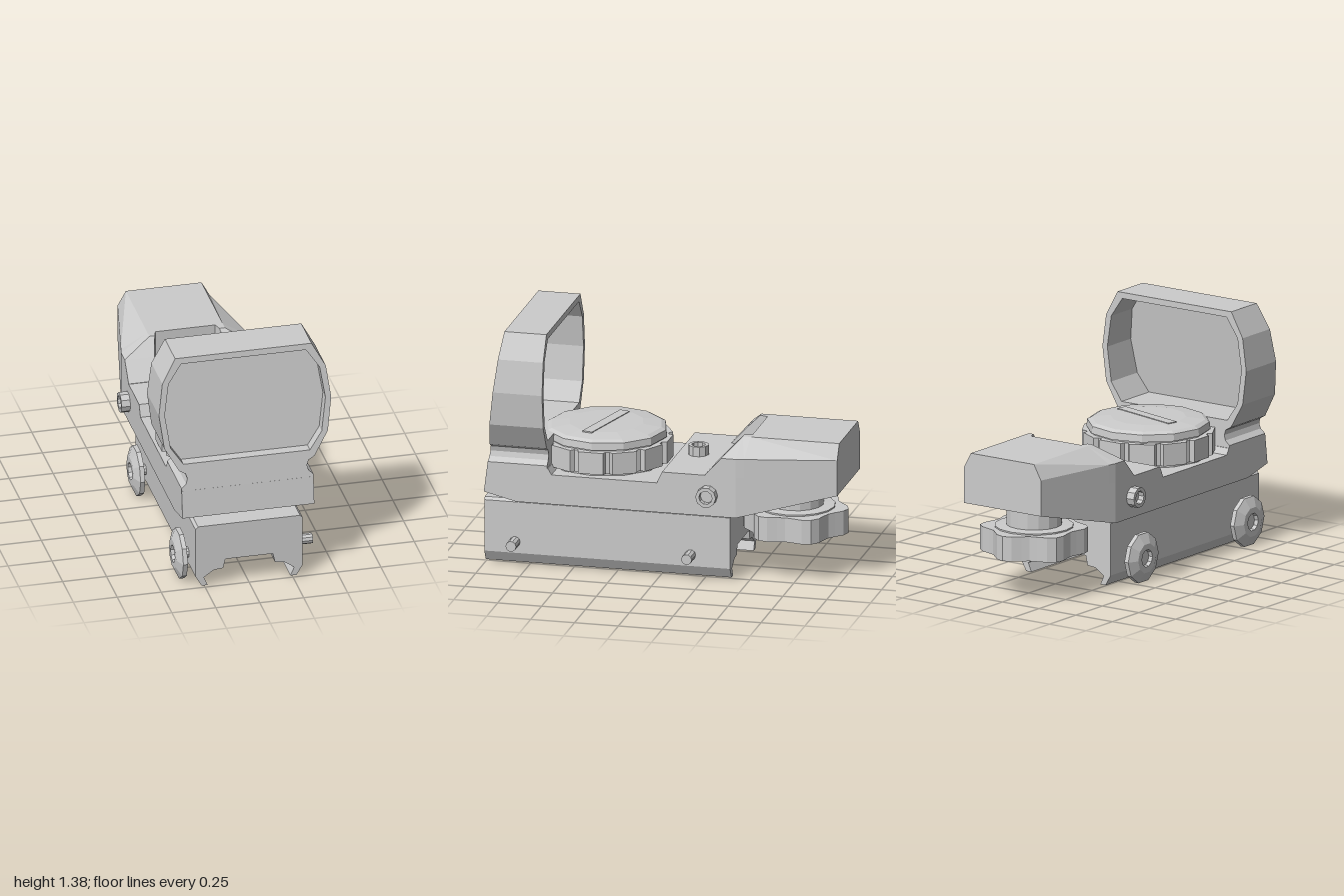
import * as THREE from 'three';

const grey = new THREE.MeshStandardMaterial({ color: 0xcccccc, flatShading: true });
const thin = new THREE.MeshStandardMaterial({ color: 0xcccccc, flatShading: true, side: THREE.DoubleSide });

export function createModel() {
  const root = new THREE.Group();
  const add = (name, geo, x = 0, y = 0, z = 0, mat = grey) => {
    const m = new THREE.Mesh(geo, mat);
    m.name = name;
    m.position.set(x, y, z);
    root.add(m);
    return m;
  };
  const vecs = pts => pts.map(([x, y]) => new THREE.Vector2(x, y));
  // Closed outline from its right half, listed bottom to top
  const mirrored = half => vecs([...half, ...half.map(([x, y]) => [-x, y]).reverse()]);
  const extrude = (shape, depth) => new THREE.ExtrudeGeometry(shape, { depth, bevelEnabled: false });
  const lathe = (pts, sides) => new THREE.LatheGeometry(vecs(pts), sides);

  // Skin through convex sections running from back to front, counterclockwise seen from +z
  const loft = sections => {
    const pos = [];
    const tri = (...p) => p.forEach(v => pos.push(...v));
    const n = sections[0].length;
    for (let i = 0; i < sections.length - 1; i++) {
      const s = sections[i], t = sections[i + 1];
      for (let j = 0; j < n; j++) {
        const k = (j + 1) % n;
        tri(s[j], s[k], t[k]);
        tri(s[j], t[k], t[j]);
      }
    }
    const a = sections[0], b = sections[sections.length - 1];
    for (let j = 1; j < n - 1; j++) {
      tri(a[0], a[j + 1], a[j]);
      tri(b[0], b[j], b[j + 1]);
    }
    const g = new THREE.BufferGeometry();
    g.setAttribute('position', new THREE.Float32BufferAttribute(pos, 3));
    g.computeVertexNormals();
    return g;
  };

  // Clamp rail with its channel open underneath
  const rail = mirrored([
    [0.135, 0.165], [0.148, 0.11], [0.2, 0.105], [0.257, 0.065], [0.235, 0.015],
    [0.27, 0.015], [0.305, 0.075], [0.305, 0.37], [0.29, 0.385]]);
  add('clampRail', extrude(new THREE.Shape(rail), 1.4), 0, 0, -0.4);
  add('spacerPlate', new THREE.BoxGeometry(0.48, 0.03, 1.1), 0, 0.39, 0.2);

  // Cross bolts, each with a clamp knob on the right
  for (const z of [0.825, -0.175]) {
    const bolt = add('crossBolt', new THREE.CylinderGeometry(0.03, 0.03, 0.76, 10), 0.02, 0.14, z);
    bolt.rotation.z = Math.PI / 2;
    const knob = add('clampKnob', lathe([
      [0, 0], [0.144, 0], [0.144, 0.026], [0.085, 0.052], [0.05, 0.052], [0.045, 0.03], [0, 0.03]], 10),
      -0.34, 0.14, z);
    knob.rotation.z = Math.PI / 2;
  }

  // Main body from its side profile (z, y)
  const side = vecs([
    [-0.45, 0.395], [0.8, 0.395], [0.985, 0.44], [0.965, 0.6], [0.62, 0.6], [0.6, 0.565],
    [0, 0.565], [-0.03, 0.63], [-0.45, 0.63]]);
  add('body', extrude(new THREE.Shape(side), 0.75), 0.375).rotation.y = -Math.PI / 2;

  // Tapered tail: lower wedge, chamfered housing, and two prongs around the notch
  const block = (w, lo, hi, z) => [[-w, lo, z], [w, lo, z], [w, hi, z], [-w, hi, z]];
  add('tailWedge', loft([block(0.262, 0.53, 0.63, -1), block(0.375, 0.395, 0.63, -0.45)]));
  const housing = (w, z) => [
    [-w, 0.63, z], [w, 0.63, z], [w, 0.735, z], [0.215, 0.82, z], [-0.215, 0.82, z], [-w, 0.735, z]];
  add('tailHousing', loft([housing(0.262, -1), housing(0.366, -0.495)]));
  const prong = [
    // z, inner x, outer x, outer height, shoulder x, top height
    [-0.495, 0.17, 0.366, 0.735, 0.215, 0.82],
    [-0.45, 0.184, 0.375, 0.735, 0.215, 0.82],
    [-0.367, 0.207, 0.375, 0.735, 0.375, 0.735],
    [-0.275, 0.235, 0.375, 0.632, 0.375, 0.632],
  ].map(([z, xi, xo, ym, xs, yt]) => [
    [xi, 0.63, z], [xo, 0.63, z], [xo, ym, z], [xs, yt, z], [xi, yt, z]]);
  add('leftProng', loft(prong));
  add('rightProng', loft(prong.map(s => s.map(([x, y, z]) => [-x, y, z]).reverse())));

  // Lens hood and its neck; the front face leans back
  const frontZ = y => 0.985 - 0.128 * (y - 0.44);
  const hood = new THREE.Shape(mirrored([
    [0.375, 0.6], [0.375, 0.615], [0.348, 0.64], [0.34, 0.67], [0.35, 0.7], [0.385, 0.72],
    [0.465, 0.86], [0.49, 1.055], [0.465, 1.24], [0.388, 1.38]]));
  const opening = mirrored([
    [0.36, 0.757], [0.43, 0.86], [0.457, 1.055], [0.43, 1.235], [0.355, 1.345]]);
  hood.holes.push(new THREE.Path(opening));
  const lean = (geo, rule) => {
    const p = geo.attributes.position;
    for (let i = 0; i < p.count; i++) p.setZ(i, rule(p.getY(i), p.getZ(i)));
    geo.computeVertexNormals();
    return geo;
  };
  add('lensHood', lean(extrude(hood, 1), (y, t) => 0.625 + t * (frontZ(y) - 0.625)));
  add('lens', lean(new THREE.ShapeGeometry(new THREE.Shape(opening)), y => frontZ(y) - 0.06), 0, 0, 0, thin);

  // Brightness dial: stepped cap with a ring of grip pads and a coin bar
  add('dialCap', lathe([
    [0, 0.55], [0.335, 0.55], [0.335, 0.715], [0.345, 0.715], [0.34, 0.755], [0.315, 0.768],
    [0.21, 0.78], [0, 0.78]], 12), 0, 0, 0.38);
  const grip = [];
  for (let i = 0; i < 12; i++) {
    for (const [r, deg] of [[0.345, -13], [0.37, -11], [0.37, 11], [0.345, 13]]) {
      const a = (i * 30 + deg) * Math.PI / 180;
      grip.push([r * Math.cos(a), r * Math.sin(a)]);
    }
  }
  const ring = add('dialGrip', extrude(new THREE.Shape(vecs(grip)), 0.125), 0, 0.582, 0.38);
  ring.rotation.x = -Math.PI / 2;
  const bar = add('dialBar', new THREE.BoxGeometry(0.44, 0.02, 0.06), 0.01, 0.774, 0.38);
  bar.rotation.y = -0.25;

  // Hollow adjustment screws on the top and both sides
  const screw = lathe([
    [0, -0.02], [0.058, -0.02], [0.058, 0.055], [0.038, 0.055], [0.038, 0.02], [0, 0.02]], 10);
  add('topScrew', screw, 0, 0.63, -0.145);
  for (const s of [1, -1]) {
    add('sideScrew', screw, s * 0.37, 0.515, -0.29).rotation.z = -s * Math.PI / 2;
  }

  // Lobed thumb wheel below the tail
  const lobes = [];
  for (let i = 0; i < 36; i++) {
    const a = i * Math.PI / 18;
    const r = 0.274 + 0.026 * Math.cos(6 * a);
    lobes.push([r * Math.sin(a), r * Math.cos(a)]);
  }
  const wheel = add('thumbWheel', extrude(new THREE.Shape(vecs(lobes.reverse())), 0.14), 0, 0.237, -0.7);
  wheel.rotation.x = -Math.PI / 2;
  add('thumbWheelHub', lathe([
    [0, 0.36], [0.22, 0.36], [0.22, 0.385], [0.155, 0.39], [0.155, 0.56], [0, 0.56]], 16), 0, 0, -0.7);

  return root;
}
